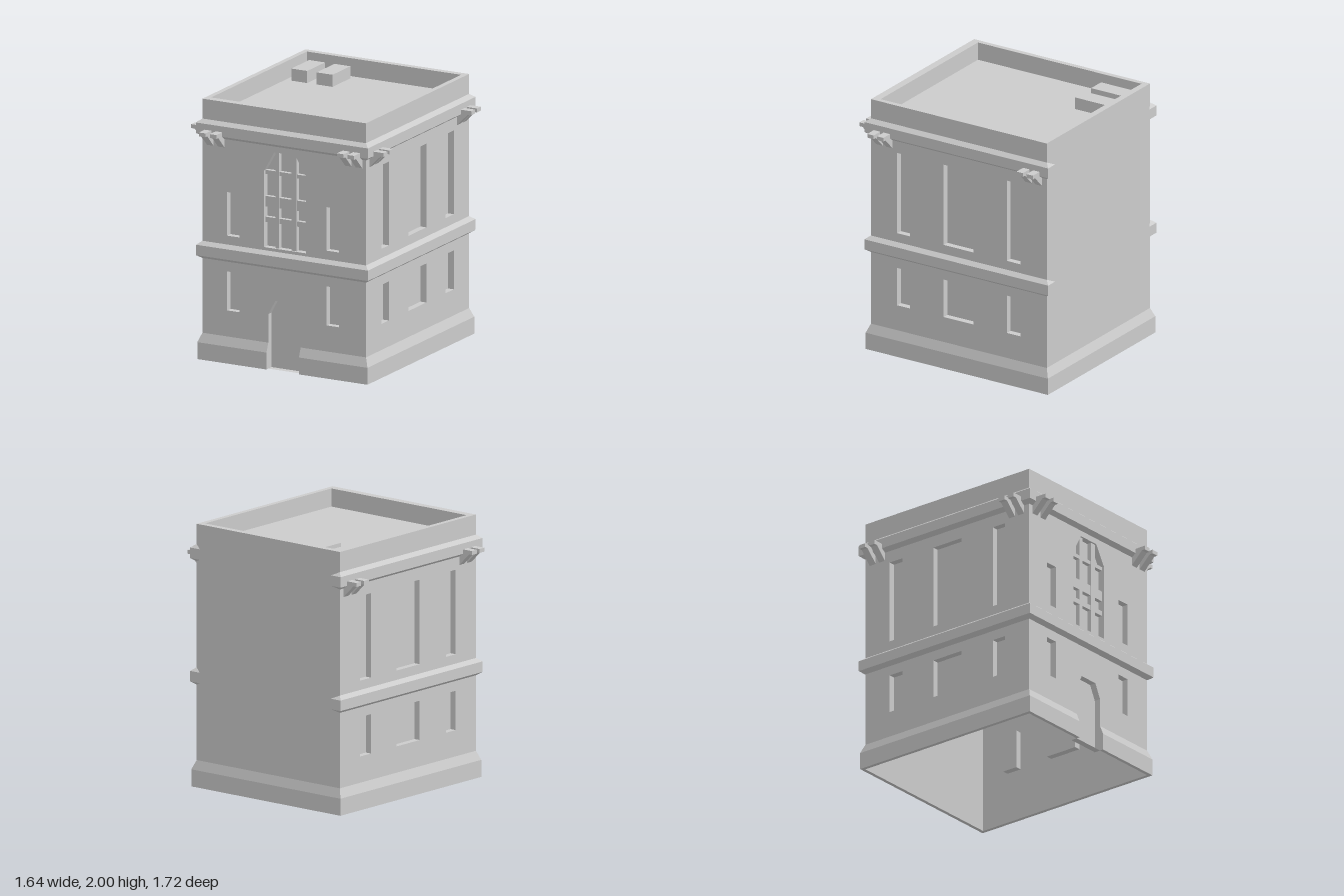
import * as THREE from 'three';

const X0 = -0.7, X1 = 0.69, Z0 = -0.82, Z1 = 0.74; // outer wall planes
const DECK = 1.86, RECESS = 0.05;

const mat = new THREE.MeshStandardMaterial({
  color: 0xcccccc, flatShading: true, side: THREE.DoubleSide,
});

function add(parent, name, geometry, x = 0, y = 0, z = 0) {
  const mesh = new THREE.Mesh(geometry, mat);
  mesh.name = name;
  mesh.position.set(x, y, z);
  parent.add(mesh);
  return mesh;
}

function box(parent, name, x0, x1, y0, y1, z0, z1) {
  return add(parent, name, new THREE.BoxGeometry(x1 - x0, y1 - y0, z1 - z0),
    (x0 + x1) / 2, (y0 + y1) / 2, (z0 + z1) / 2);
}

const shapeOf = (pts) => new THREE.Shape(pts.map(([x, y]) => new THREE.Vector2(x, y)));
const rect = (x0, x1, y0, y1) => [[x0, y0], [x1, y0], [x1, y1], [x0, y1]];

// Surface through equal-length rows of points, optionally with flat end caps
function loft(rows, caps = false) {
  const pos = [];
  for (let i = 0; i + 1 < rows.length; i++) {
    for (let j = 0; j + 1 < rows[i].length; j++) {
      const a = rows[i][j], b = rows[i + 1][j], c = rows[i + 1][j + 1], d = rows[i][j + 1];
      pos.push(...a, ...b, ...c, ...a, ...c, ...d);
    }
  }
  if (caps) {
    for (const row of [rows[0], rows[rows.length - 1]]) {
      for (let j = 1; j + 1 < row.length; j++) pos.push(...row[0], ...row[j], ...row[j + 1]);
    }
  }
  const g = new THREE.BufferGeometry();
  g.setAttribute('position', new THREE.Float32BufferAttribute(pos, 3));
  g.computeVertexNormals();
  return g;
}

// Moulding: profile of [offset, height] swept along stations [x, z, dirX, dirZ]
const moulding = (profile, stations, caps) => loft(
  stations.map(([x, z, dx, dz]) => profile.map(([o, y]) => [x + dx * o, y, z + dz * o])), caps);

// Wall with recessed openings
function wall(name, outline, windows, recesses = windows) {
  const group = new THREE.Group();
  group.name = name;
  const shape = shapeOf(outline);
  windows.forEach((w) => shape.holes.push(shapeOf(w)));
  add(group, 'wallFace', new THREE.ShapeGeometry(shape));
  for (const w of recesses) {
    const loop = [...w, w[0]];
    add(group, 'reveal', loft([0, -RECESS].map((z) => loop.map(([x, y]) => [x, y, z]))));
    add(group, 'pane', new THREE.ShapeGeometry(shapeOf(w)), 0, 0, -RECESS);
  }
  return group;
}

export function createModel() {
  const model = new THREE.Group();
  model.name = 'building';

  // Front wall: doorway, four small windows and the tall lattice window
  const door = [[-0.14, 0], [-0.14, 0.42], [-0.08, 0.53], [0.08, 0.53], [0.135, 0.42], [0.135, 0]];
  const tall = [[-0.175, 0.93], [0.18, 0.93], [0.18, 1.52], [0.09, 1.67], [-0.09, 1.67], [-0.175, 1.52]];
  const frontWindows = [tall];
  for (const [a, b] of [[-0.49, -0.385], [0.355, 0.46]]) {
    frontWindows.push(rect(a, b, 0.4, 0.7), rect(a, b, 0.975, 1.31));
  }
  const front = wall('frontWall',
    [[X0, 0], ...door, [X1, 0], [X1, DECK], [X0, DECK]],
    frontWindows, [...frontWindows, door]);
  front.position.z = Z1;
  model.add(front);

  // Lattice bars
  for (const [a, b] of [[-0.087, -0.056], [0.047, 0.092]]) {
    box(front, 'latticeUpright', a, b, 0.93, 1.67, -RECESS, -0.015);
  }
  for (const [a, b] of [[1.12, 1.16], [1.24, 1.32], [1.49, 1.52]]) {
    box(front, 'latticeCrossbar', -0.175, 0.18, a, b, -RECESS, -0.018);
  }

  // Side walls, each with three windows per storey
  for (const side of [1, -1]) {
    const windows = [];
    for (const [a, b] of [[0.395, 0.508], [-0.172, 0.095], [-0.588, -0.465]]) {
      const [u0, u1] = side > 0 ? [-b, -a] : [a, b];
      windows.push(rect(u0, u1, 0.4, 0.7), rect(u0, u1, 0.978, 1.622));
    }
    const [u0, u1] = side > 0 ? [-Z1, -Z0] : [Z0, Z1];
    const w = wall(side > 0 ? 'leftWall' : 'rightWall', rect(u0, u1, 0, DECK), windows);
    w.rotation.y = side * Math.PI / 2;
    w.position.x = side > 0 ? X1 : X0;
    model.add(w);
  }

  // Plain back wall
  const back = wall('backWall', rect(-X1, -X0, 0, DECK), []);
  back.rotation.y = Math.PI;
  back.position.z = Z0;
  model.add(back);

  // Flared plinth, broken at the doorway
  const corners = [[X1, Z1, 1, 1], [X1, Z0, 1, -1], [X0, Z0, -1, -1], [X0, Z1, -1, 1]];
  add(model, 'plinth', moulding(
    [[0, 0], [0.028, 0], [0.028, 0.13], [0, 0.2]],
    [[0.135, Z1, 0, 1], ...corners, [-0.14, Z1, 0, 1]], true));

  // String course and cornice on three sides, with short returns at the back
  const course = [
    [X0, Z0, 1.7, -1], [X0, Z0, -1, -1], [X0, Z1, -1, 1],
    [X1, Z1, 1, 1], [X1, Z0, 1, -1], [X1, Z0, -1.7, -1],
  ];
  for (const [name, y] of [['stringCourse', 0.775], ['cornice', 1.715]]) {
    add(model, name, moulding(
      [[0, y], [0.035, y + 0.025], [0.035, y + 0.105], [0, y + 0.132]], course, true));
  }

  // Paired brackets near the corners
  const bracketShape = shapeOf([[0, 1.65], [0.095, 1.745], [0.123, 1.745], [0.123, 1.775], [0, 1.775]]);
  const bracketGeo = new THREE.ExtrudeGeometry(bracketShape, { depth: 0.056, bevelEnabled: false });
  bracketGeo.translate(0, 0, -0.028);
  for (const x of [-0.633, -0.54, 0.54, 0.63]) {
    add(model, 'frontBracket', bracketGeo, x, 0, Z1).rotation.y = -Math.PI / 2;
  }
  for (const z of [0.663, 0.577, -0.661, -0.75]) {
    add(model, 'leftBracket', bracketGeo, X1, 0, z);
    add(model, 'rightBracket', bracketGeo, X0, 0, z).rotation.y = Math.PI;
  }

  // Parapet ring (shape y becomes -z), roof deck and two roof boxes
  const ring = shapeOf(rect(X0, X1, -Z1, -Z0));
  ring.holes.push(shapeOf(rect(-0.66, 0.65, -0.68, 0.77)));
  const parapet = new THREE.ExtrudeGeometry(ring, { depth: 2 - DECK, bevelEnabled: false });
  parapet.rotateX(-Math.PI / 2);
  add(model, 'parapet', parapet, 0, DECK, 0);
  const deck = new THREE.PlaneGeometry(X1 - X0, Z1 - Z0);
  deck.rotateX(-Math.PI / 2);
  add(model, 'roofDeck', deck, (X0 + X1) / 2, DECK + 0.002, (Z0 + Z1) / 2);
  for (const x of [-0.61, -0.395]) {
    box(model, 'roofBox', x, x + 0.135, DECK, 1.955, -0.715, -0.445);
  }

  return model;
}
